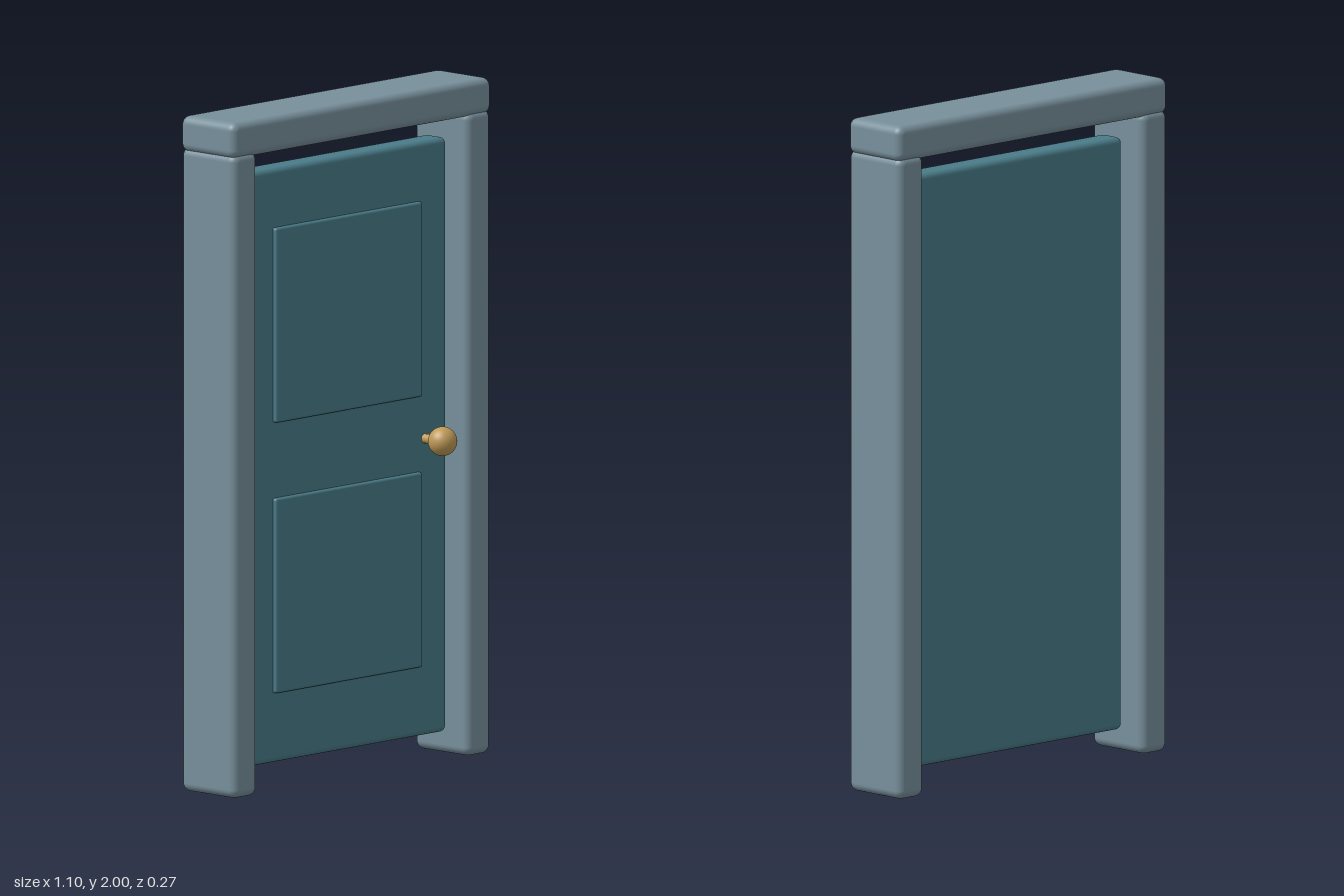
import * as THREE from 'three';
import { RoundedBoxGeometry } from 'three/addons/geometries/RoundedBoxGeometry.js';

const frameMat = new THREE.MeshStandardMaterial({ color: 0x78909c });
const doorMat = new THREE.MeshStandardMaterial({ color: 0x4a7c89 });
const knobMat = new THREE.MeshStandardMaterial({ color: 0xbf9a58 });

// Rounded block given by its min and max corners
function block(name, material, min, max, radius) {
  const size = max.map((v, i) => v - min[i]);
  const mesh = new THREE.Mesh(new RoundedBoxGeometry(...size, 4, radius), material);
  mesh.position.set(...max.map((v, i) => (v + min[i]) / 2));
  mesh.name = name;
  return mesh;
}

export function createModel() {
  const model = new THREE.Group();
  model.name = 'doorway';
  const back = -0.135, front = 0.085;

  // Frame: two posts and a lintel
  const frame = new THREE.Group();
  frame.name = 'frame';
  for (const [name, x] of [['leftPost', 0.445], ['rightPost', -0.547]]) {
    frame.add(block(name, frameMat, [x, 0, back], [x + 0.102, 1.907, front], 0.025));
  }
  frame.add(block('lintel', frameMat, [-0.55, 1.893, back], [0.55, 2, front], 0.025));

  // Door leaf with two raised panels on the front
  const door = new THREE.Group();
  door.name = 'door';
  door.add(block('doorLeaf', doorMat, [-0.43, 0.07, -0.066], [0.43, 1.83, 0.016], 0.018));
  for (const [name, y] of [['lowerPanel', 0.277], ['upperPanel', 1.078]]) {
    door.add(block(name, doorMat, [-0.312, y, 0], [0.312, y + 0.577, 0.03], 0.008));
  }

  // Round knob on a short stem
  const knob = new THREE.Mesh(new THREE.SphereGeometry(0.043, 32, 20), knobMat);
  knob.name = 'knob';
  knob.position.set(0.333, 0.95, 0.088);
  const stem = new THREE.Mesh(new THREE.CylinderGeometry(0.014, 0.014, 0.07, 20), knobMat);
  stem.name = 'knobStem';
  stem.rotation.x = Math.PI / 2;
  stem.position.set(0.333, 0.95, 0.045);
  door.add(knob, stem);

  model.add(frame, door);
  return model;
}
